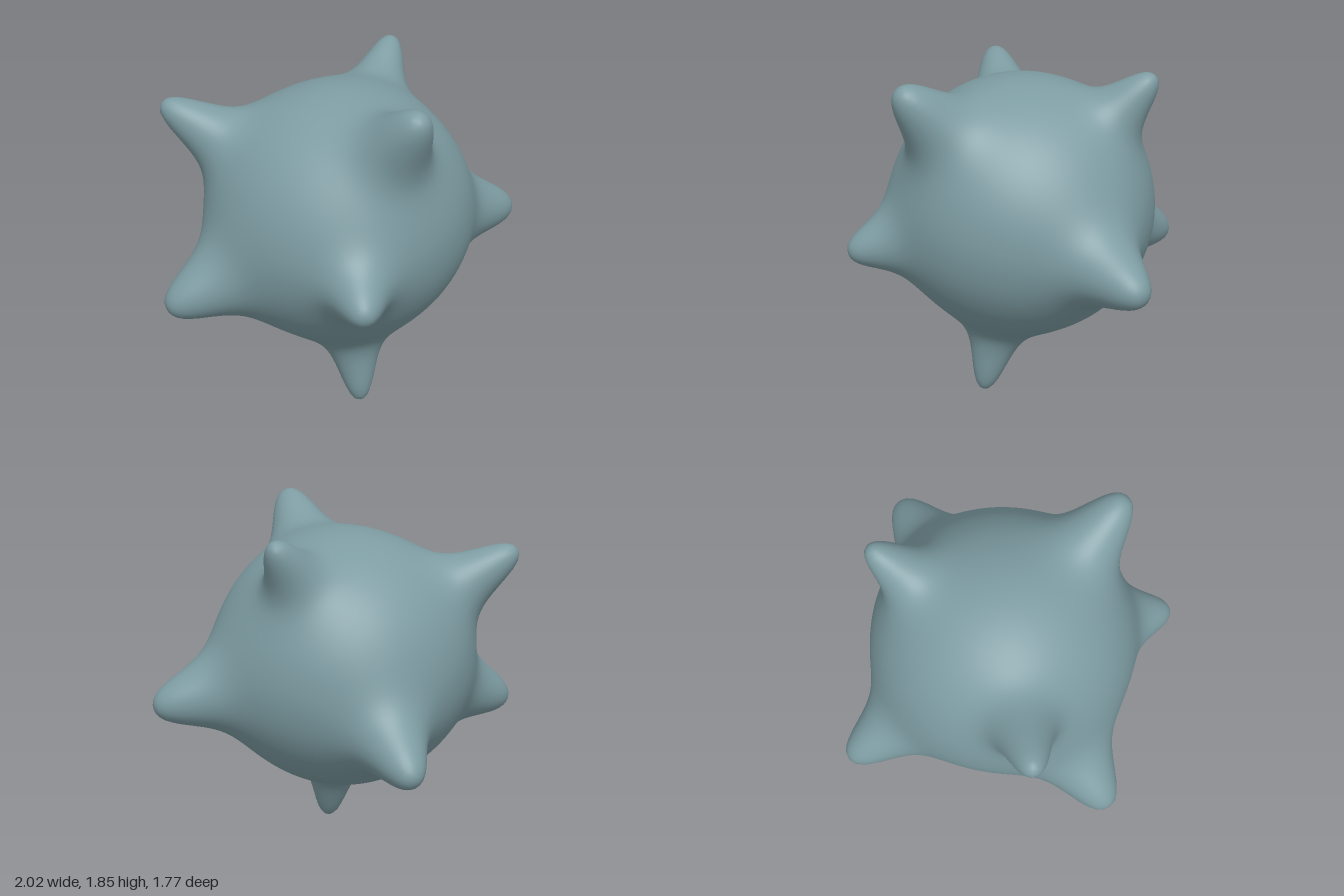
import * as THREE from 'three';
import { mergeVertices } from 'three/addons/utils/BufferGeometryUtils.js';

const CENTRE = new THREE.Vector3(-0.02, 1.04, 0.08);
const RADIUS = 0.695;

// Spike tips [x, y, z] and the angular half-width of each spike at half its height
const SPIKES = [
  [-0.71, 1.65, -0.54, 0.14],  // upper back right
  [0.28, 0.66, -0.88, 0.17],   // lower back
  [-0.99, 0.67, -0.20, 0.18],  // right side
  [0.63, 1.80, -0.19, 0.135],  // upper left
  [0.995, 0.86, 0.41, 0.18],   // left side
  [-0.20, 1.81, 0.84, 0.165],  // upper front
  [-0.58, 0.86, 0.85, 0.16],   // front right
  [-0.10, 0.00, 0.33, 0.12],   // underside
].map(([x, y, z, width]) => {
  const axis = new THREE.Vector3(x, y, z).sub(CENTRE);
  const height = axis.length() - RADIUS;
  return { axis: axis.normalize(), height, width };
});

// Distance of the surface from the centre along a direction
function surfaceRadius(dir) {
  let r = RADIUS;
  for (const { axis, height, width } of SPIKES) {
    r += height / (1 + Math.pow(dir.angleTo(axis) / width, 2.5));
  }
  return r;
}

export function createModel() {
  const group = new THREE.Group();
  group.name = 'spikedBall';

  const skin = new THREE.MeshStandardMaterial({ color: 0x7d9ca2 });
  skin.name = 'greyTeal';

  // Smooth ball, pulled outwards into flared, blunt spikes
  const raw = new THREE.IcosahedronGeometry(1, 50);
  raw.deleteAttribute('uv');
  raw.deleteAttribute('normal');
  const geometry = mergeVertices(raw, 1e-4);
  const position = geometry.attributes.position;
  const p = new THREE.Vector3();
  for (let i = 0; i < position.count; i++) {
    p.fromBufferAttribute(position, i).normalize();
    p.multiplyScalar(surfaceRadius(p)).add(CENTRE);
    position.setXYZ(i, p.x, p.y, p.z);
  }
  geometry.computeVertexNormals();

  const body = new THREE.Mesh(geometry, skin);
  body.name = 'spikedBody';
  group.add(body);
  return group;
}
